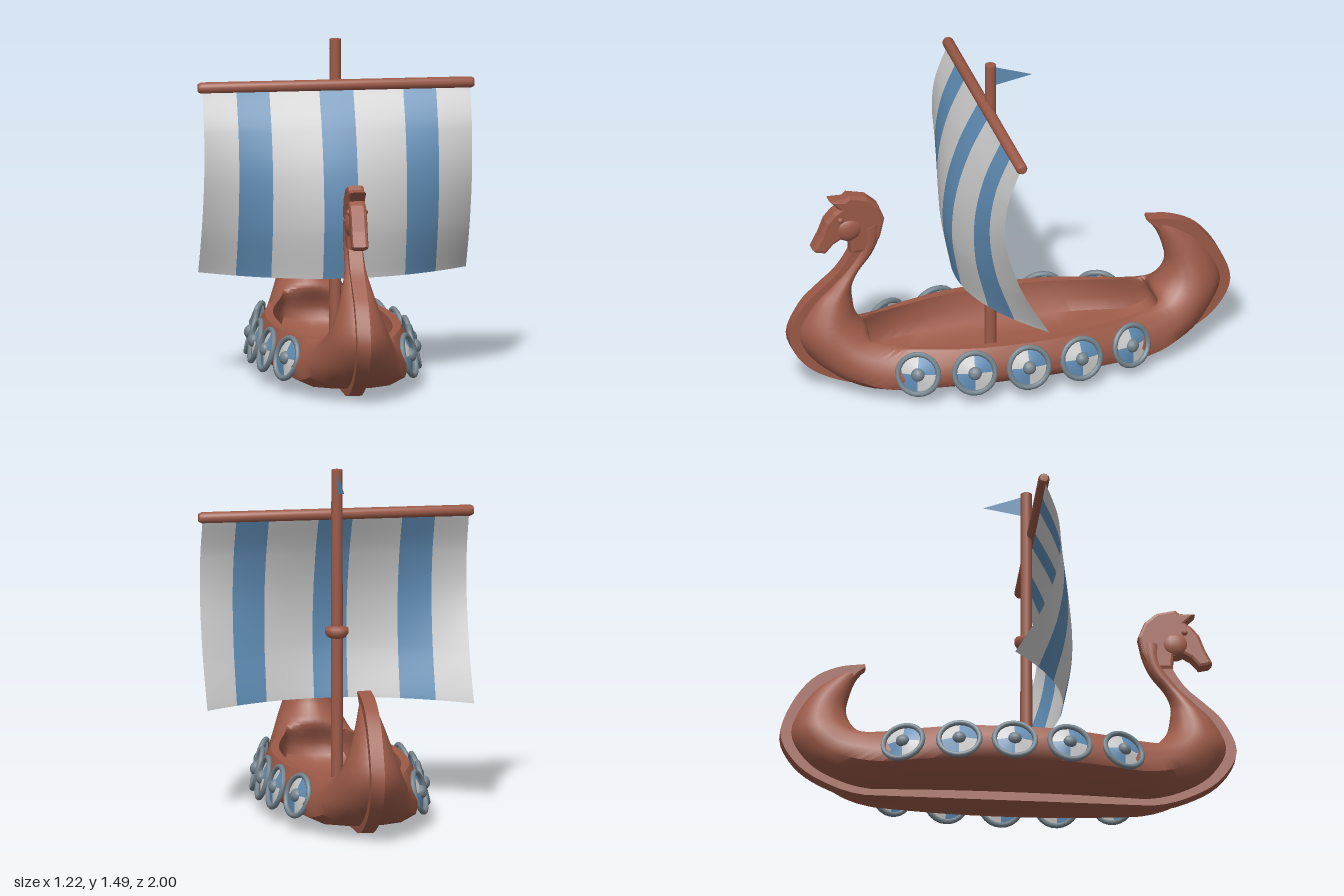
import * as THREE from 'three';
import { toCreasedNormals } from 'three/addons/utils/BufferGeometryUtils.js';
import { ParametricGeometry } from 'three/addons/geometries/ParametricGeometry.js';

const mat = (color, side = THREE.FrontSide) => new THREE.MeshStandardMaterial({ color, side });
const wood = mat(0x9c5a48), iron = mat(0x74838c);
const white = mat(0xcccccc, THREE.DoubleSide), blue = mat(0x5f8cb4, THREE.DoubleSide);

function add(parent, name, geometry, material, x = 0, y = 0, z = 0) {
  const mesh = new THREE.Mesh(geometry, material);
  mesh.name = name;
  mesh.position.set(x, y, z);
  parent.add(mesh);
  return mesh;
}

// Skin a list of closed rings (arrays of [x, y, z])
function loft(rings, crease) {
  const n = rings[0].length, index = [];
  for (let i = 0; i < rings.length - 1; i++) {
    for (let j = 0; j < n; j++) {
      const a = i * n + j, b = i * n + (j + 1) % n;
      index.push(a, b, a + n, b, b + n, a + n);
    }
  }
  const last = (rings.length - 1) * n;
  for (let j = 1; j < n - 1; j++) index.push(0, j + 1, j, last, last + j, last + j + 1);
  const g = new THREE.BufferGeometry();
  g.setAttribute('position', new THREE.Float32BufferAttribute(rings.flat(2), 3));
  g.setIndex(index);
  return toCreasedNormals(g, crease);
}

// Stations from stern tip to neck: keel z, y, inner edge z, y, half width, openness
const stations = [
  [-0.63, 0.63, -0.625, 0.615, 0.012, 0], [-0.75, 0.61, -0.67, 0.555, 0.035, 0],
  [-0.86, 0.55, -0.70, 0.47, 0.06, 0], [-0.95, 0.43, -0.71, 0.40, 0.09, 0],
  [-1.0, 0.28, -0.68, 0.33, 0.13, 0], [-0.94, 0.15, -0.62, 0.28, 0.17, 0.1],
  [-0.82, 0.06, -0.54, 0.25, 0.21, 0.75], [-0.63, 0, -0.42, 0.24, 0.26, 1],
  [-0.3, 0, -0.22, 0.24, 0.315, 1], [0, 0, 0, 0.24, 0.33, 1], [0.3, 0, 0.22, 0.24, 0.315, 1],
  [0.63, 0, 0.42, 0.24, 0.26, 1], [0.82, 0.06, 0.54, 0.25, 0.21, 0.75],
  [0.94, 0.15, 0.62, 0.28, 0.17, 0.1], [1.0, 0.28, 0.69, 0.35, 0.125, 0],
  [0.94, 0.42, 0.71, 0.44, 0.085, 0], [0.86, 0.5, 0.71, 0.50, 0.065, 0],
  [0.78, 0.57, 0.68, 0.565, 0.048, 0], [0.725, 0.65, 0.62, 0.64, 0.042, 0],
  [0.71, 0.7, 0.585, 0.72, 0.042, 0], [0.72, 0.75, 0.575, 0.80, 0.042, 0],
];

// Half sections from keel to centreline: [height share, width share]
const openHalf = [[0, 0], [0, 0.3], [0.04, 0.65], [0.18, 0.92], [0.42, 1], [0.72, 0.95],
  [1, 0.86], [1, 0.74], [0.55, 0.71], [0.32, 0.6], [0.23, 0.3], [0.2, 0]];
const closedHalf = [[0, 0], [0.03, 0.25], [0.1, 0.5], [0.22, 0.78], [0.4, 0.97], [0.58, 1],
  [0.74, 0.88], [0.84, 0.72], [0.91, 0.55], [0.96, 0.36], [0.99, 0.18], [1, 0]];

function buildHull(group) {
  const curve = pick => new THREE.CatmullRomCurve3(
    stations.map(s => new THREE.Vector3(...pick(s))), false, 'catmullrom', 0.5);
  const outer = curve(s => [s[4], s[1], s[0]]), inner = curve(s => [s[5], s[3], s[2]]);
  const hull = [], keel = [], steps = 80;
  for (let i = 0; i <= steps; i++) {
    const o = outer.getPoint(i / steps), e = inner.getPoint(i / steps);
    const w = o.x, open = THREE.MathUtils.clamp(e.x, 0, 1);
    o.y = Math.max(0, o.y);
    const dz = e.z - o.z, dy = e.y - o.y, len = Math.hypot(dz, dy);
    const inset = Math.min(0.04 / len, 0.25);
    const half = openHalf.map(([u, v], j) => {
      const s = inset + (1 - inset) * THREE.MathUtils.lerp(closedHalf[j][0], u, open);
      return [w * THREE.MathUtils.lerp(closedHalf[j][1], v, open), o.y + dy * s, o.z + dz * s];
    });
    const mirrored = half.slice(1, -1).reverse().map(([x, y, z]) => [-x, y, z]);
    hull.push([...half, ...mirrored]);
    // Keel strip along the outer edge
    const k = Math.min(0.08 / len, 0.8), t = 0.03;
    const y2 = o.y + dy * k, z2 = o.z + dz * k;
    keel.push([[-t, o.y, o.z], [t, o.y, o.z], [t, y2, z2], [-t, y2, z2]]);
  }
  add(group, 'hull', loft(hull, 0.8), wood);
  add(group, 'keel', loft(keel, 0.6), wood);
}

function buildHead(group) {
  const outline = [[0.72, 0.66], [0.725, 0.72], [0.765, 0.735], [0.80, 0.715], [0.835, 0.675],
    [0.88, 0.685], [0.893, 0.7], [0.86, 0.765], [0.835, 0.83], [0.80, 0.87], [0.775, 0.885],
    [0.817, 0.93], [0.75, 0.93], [0.73, 0.947], [0.647, 0.927], [0.595, 0.88], [0.567, 0.81],
    [0.585, 0.73], [0.62, 0.66]];
  const g = new THREE.ExtrudeGeometry(new THREE.Shape(outline.map(p => new THREE.Vector2(...p))), {
    depth: 0.044, bevelThickness: 0.014, bevelSize: 0.014, bevelOffset: -0.014, bevelSegments: 2,
  });
  g.translate(0, 0, -0.022).rotateY(-Math.PI / 2);
  add(group, 'figurehead', g, wood);
  // Cheeks and eyes
  for (const side of [-1, 1]) {
    const cheek = add(group, 'cheek', new THREE.SphereGeometry(1, 14, 10), wood, side * 0.025, 0.78, 0.73);
    cheek.scale.set(0.025, 0.055, 0.06);
    add(group, 'eye', new THREE.SphereGeometry(0.014, 10, 8), wood, side * 0.034, 0.835, 0.77);
  }
}

function buildRig(group) {
  add(group, 'mast', new THREE.CylinderGeometry(0.025, 0.027, 1.43, 12), wood, 0, 0.775, 0.08);
  const collar = [[0.024, -0.03], [0.04, -0.025], [0.052, -0.008], [0.052, 0.015], [0.024, 0.025]];
  add(group, 'mastCollar', new THREE.LatheGeometry(collar.map(p => new THREE.Vector2(...p)), 12),
    wood, 0, 0.775, 0.08);
  const yard = [[0, -0.61], [0.018, -0.608], [0.025, -0.595], [0.025, 0.595], [0.018, 0.608], [0, 0.61]];
  const yardGeo = new THREE.LatheGeometry(yard.map(p => new THREE.Vector2(...p)), 12);
  add(group, 'yard', toCreasedNormals(yardGeo, 0.7), wood, 0, 1.29, 0.105).rotation.z = Math.PI / 2;

  // Pennant flying aft
  const pennant = new THREE.Shape([[-0.06, 1.475], [-0.06, 1.385], [0.11, 1.415]]
    .map(p => new THREE.Vector2(...p)));
  add(group, 'pennant', new THREE.ShapeGeometry(pennant).rotateY(Math.PI / 2), blue);

  // Billowing sail in vertical stripes
  const profile = pts => new THREE.SplineCurve(pts.map(p => new THREE.Vector2(...p)));
  const middle = profile([[0.112, 1.27], [0.2, 1.1], [0.262, 0.9], [0.278, 0.69], [0.238, 0.455]]);
  const edge = profile([[0.112, 1.27], [0.17, 1.1], [0.172, 0.9], [0.1, 0.67], [-0.02, 0.455]]);
  const cuts = [-0.59, -0.44, -0.295, -0.075, 0.075, 0.295, 0.44, 0.59];
  for (let i = 0; i < 7; i++) {
    const stripe = (u, v, target) => {
      const x = THREE.MathUtils.lerp(cuts[i], cuts[i + 1], u), s = THREE.MathUtils.clamp(v, 0, 1);
      const f = Math.pow(Math.abs(x) / 0.59, 1.4 + 0.6 * s);
      const p = middle.getPoint(s).lerp(edge.getPoint(s), f);
      target.set(x, p.y, p.x);
    };
    add(group, 'sailStripe', new ParametricGeometry(stripe, 6, 24), i % 2 ? blue : white);
  }
}

function buildShield() {
  const shield = new THREE.Group();
  shield.name = 'shield';
  for (let q = 0; q < 4; q++) {
    const g = new THREE.CylinderGeometry(0.03, 0.09, 0.016, 6, 1, false, q * Math.PI / 2, Math.PI / 2);
    add(shield, 'shieldQuarter', g.rotateX(Math.PI / 2), q % 2 ? blue : white);
  }
  add(shield, 'shieldRim', new THREE.TorusGeometry(0.09, 0.012, 8, 24), iron);
  add(shield, 'shieldBoss', new THREE.SphereGeometry(0.03, 12, 8), iron, 0, 0, 0.008).scale.z = 0.8;
  return shield;
}

export function createModel() {
  const ship = new THREE.Group();
  ship.name = 'longship';
  buildHull(ship);
  buildHead(ship);
  buildRig(ship);

  // Five shields hung along each side
  const offset = [0.34, 0.325, 0.27], yaw = [0, 0.14, 0.38];
  for (const side of [-1, 1]) {
    for (let i = -2; i <= 2; i++) {
      const shield = buildShield(), k = Math.abs(i);
      shield.position.set(side * offset[k], 0.15, i * 0.242);
      shield.rotation.set(-0.25, side * (Math.PI / 2 - Math.sign(i) * yaw[k]), 0, 'YXZ');
      ship.add(shield);
    }
  }
  return ship;
}
